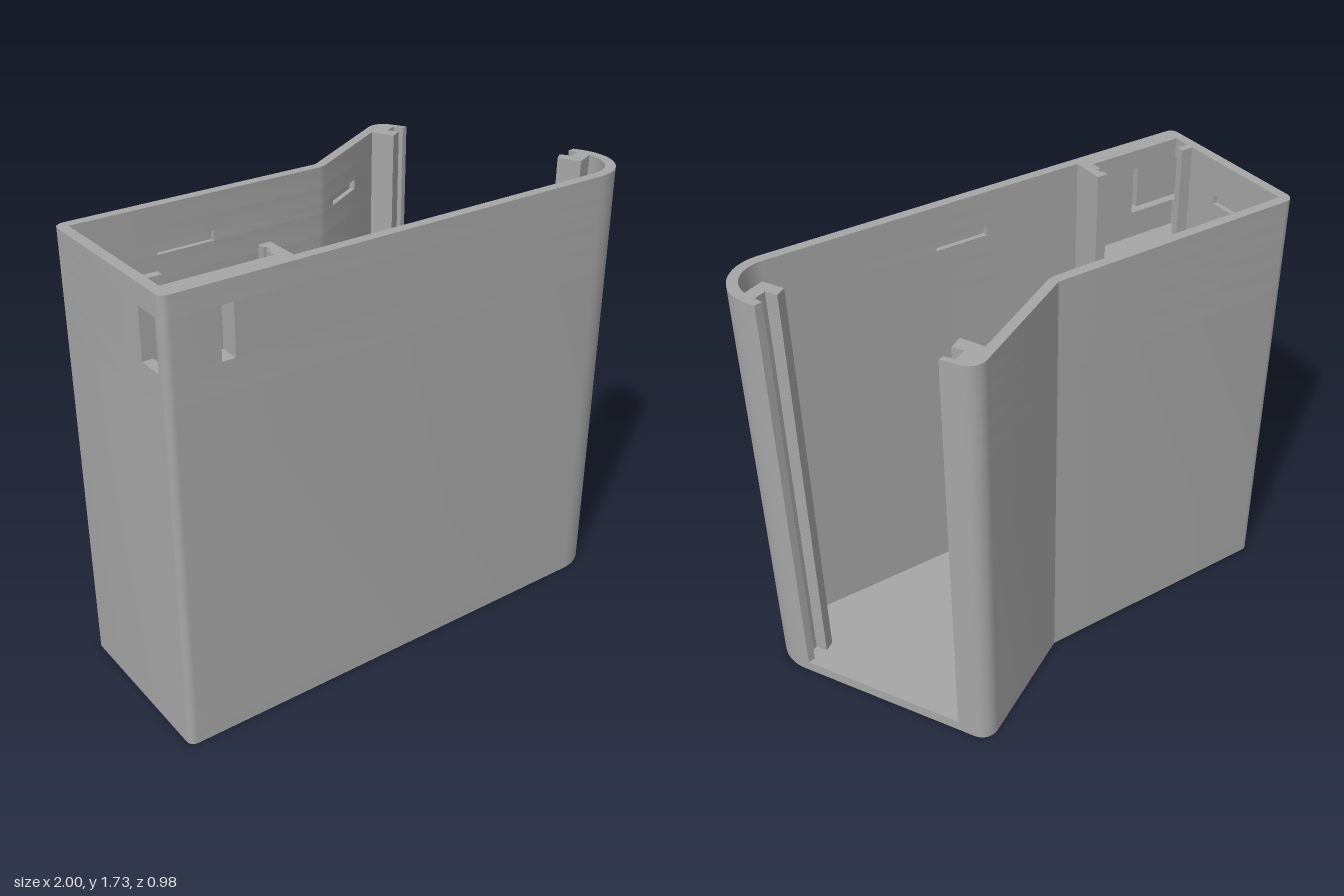
import * as THREE from 'three';
import { toCreasedNormals } from 'three/addons/utils/BufferGeometryUtils.js';

const TOP = 1.73;

// Points [x, z] on an arc, angles in degrees measured from +x towards +z
function arc(cx, cz, r, from, to, steps) {
  return Array.from({ length: steps + 1 }, (_, i) => {
    const a = THREE.MathUtils.degToRad(from + ((to - from) * i) / steps);
    return [cx + r * Math.cos(a), cz + r * Math.sin(a)];
  });
}

// Shallow groove from a to b, sunk by the vector n
const groove = (on, a, b, n) =>
  on ? [a, [a[0] + n[0], a[1] + n[1]], [b[0] + n[0], b[1] + n[1]], b] : [];

// Outer outline from the peak round to the back left corner
const backOuter = [
  ...arc(0.535, -0.43, 0.065, -30, -120, 10),
  [0.06, -0.23],
  ...arc(-0.96, -0.19, 0.04, -90, -180, 6),
];
const frontCorner = arc(-0.97, 0.46, 0.03, 180, 90, 6);
const nose = arc(0.82, 0.31, 0.18, 90, -29.4, 24);

// Inside of the front wall: door rail, nose, front wall, pocket rib
const frontInner = (grooves) => [
  [0.965, 0.2], [0.935, 0.205], [0.945, 0.24], [0.9, 0.26],
  [0.875, 0.218], [0.837, 0.245], [0.88, 0.325],
  ...arc(0.82, 0.31, 0.14, -8, 90, 18),
  ...groove(grooves, [0.14, 0.45], [-0.08, 0.45], [0, 0.02]),
  [-0.5, 0.45], [-0.5, 0.315],
];
const pocketRight = [
  [-0.545, 0.315], [-0.545, 0.345], [-0.535, 0.345], [-0.535, 0.37], [-0.55, 0.37], [-0.55, 0.415],
];
const pocketLeft = [[-0.96, 0.345], [-0.91, 0.345], [-0.91, 0.315]];

// Inside of the left end and back walls, ending with the other door rail
const backInner = (grooves) => [
  [-0.96, 0.315],
  ...groove(grooves, [-0.96, 0.165], [-0.96, -0.06], [-0.02, 0]),
  [-0.96, -0.19],
  ...groove(grooves, [-0.64, -0.19], [-0.41, -0.19], [0, -0.02]),
  [0.05, -0.19], [0.08, -0.198],
  ...groove(grooves, [0.145, -0.236], [0.32, -0.336], [-0.01, -0.0173]),
  [0.47, -0.422], [0.51, -0.335], [0.56, -0.365], [0.535, -0.405],
  [0.585, -0.43], [0.605, -0.395], [0.627, -0.4],
];

export function createModel() {
  const group = new THREE.Group();
  const grey = new THREE.MeshStandardMaterial({ color: 0xa6a6a6 });
  grey.name = 'grey plastic';

  // Extrude an outline upwards from y0 to y1
  function slab(name, points, y0, y1) {
    const shape = new THREE.Shape(points.map(([x, z]) => new THREE.Vector2(x, -z)));
    const geo = new THREE.ExtrudeGeometry(shape, { depth: y1 - y0, bevelEnabled: false });
    geo.rotateX(-Math.PI / 2).translate(0, y0, 0);
    const mesh = new THREE.Mesh(toCreasedNormals(geo, 0.4), grey);
    mesh.name = name;
    group.add(mesh);
  }

  // Floor plate
  slab('floor', [...backOuter, ...frontCorner, ...nose], 0, 0.045);

  // Lower walls, solid below the pocket
  slab('lowerWall',
    [...backOuter, ...frontCorner, ...nose, ...frontInner(false), ...backInner(false)], 0.045, 1.35);

  // Walls around the open pocket, below and above the strap opening
  const pocketWall = [
    ...backOuter, ...frontCorner, ...nose, ...frontInner(false),
    ...pocketRight, [-0.96, 0.415], ...pocketLeft, ...backInner(false),
  ];
  slab('pocketWall', pocketWall, 1.35, 1.46);
  slab('rim', pocketWall, 1.65, TOP);

  // Strap bar between the side opening and the front window
  slab('strapBar', [[-1, 0.45], ...frontCorner, [-0.8, 0.49], [-0.8, 0.45]], 1.46, 1.65);

  // Walls at the strap opening; the middle band carries the snap grooves
  for (const [y0, y1, grooves] of [[1.46, 1.55, false], [1.55, 1.588, true], [1.588, 1.65, false]]) {
    slab('backWallBand',
      [...backOuter, [-1, 0.345], ...pocketLeft.slice(1), ...backInner(grooves)], y0, y1);
    slab('frontWallBand',
      [[-0.75, 0.49], ...nose, ...frontInner(grooves), ...pocketRight, [-0.75, 0.415]], y0, y1);
  }

  return group;
}
